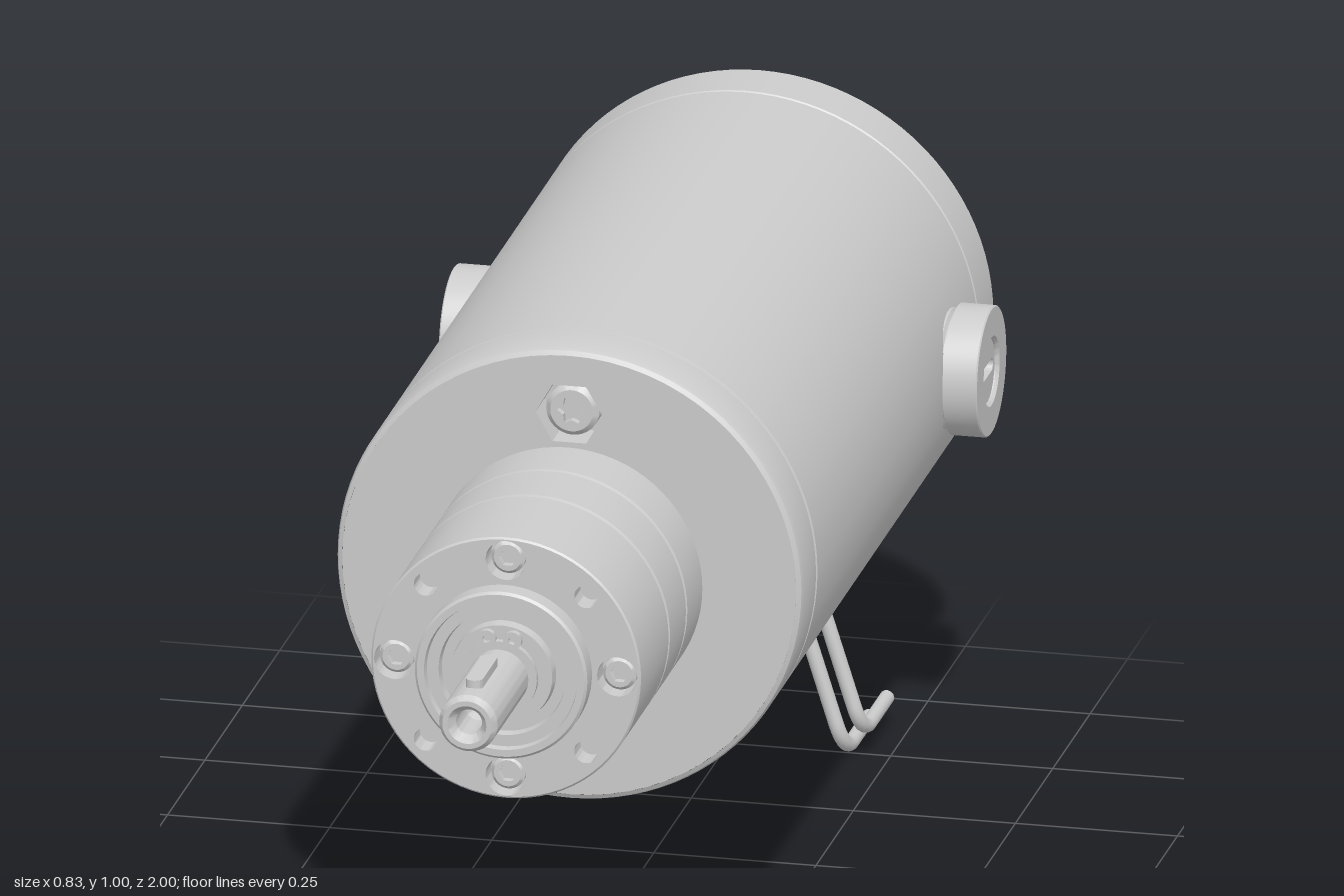
import * as THREE from 'three';
import { toCreasedNormals } from 'three/addons/utils/BufferGeometryUtils.js';

const AXIS_Y = 0.643;
const mat = new THREE.MeshStandardMaterial({ color: 0xcccccc });
const matThin = new THREE.MeshStandardMaterial({ color: 0xcccccc, side: THREE.DoubleSide });

function add(parent, name, geo, x = 0, y = 0, z = 0, material = mat) {
  const m = new THREE.Mesh(geo, material);
  m.name = name;
  m.position.set(x, y, z);
  parent.add(m);
  return m;
}

// Turned part along z; profile is [radius, z] pairs
function turned(profile, segments = 72) {
  const geo = new THREE.LatheGeometry(profile.map(p => new THREE.Vector2(p[0], p[1])), segments);
  return toCreasedNormals(geo.rotateX(Math.PI / 2), 0.45);
}

const circle = (r, x = 0, y = 0) => new THREE.Shape().absarc(x, y, r, 0, Math.PI * 2, false);

// Polygon or star with alternating radii
function polygon(n, r, x = 0, y = 0, r2 = r) {
  const pts = [];
  for (let i = 0; i < n; i++) {
    const a = (i / n) * Math.PI * 2, k = i % 2 ? r2 : r;
    pts.push(new THREE.Vector2(x + k * Math.cos(a), y + k * Math.sin(a)));
  }
  return new THREE.Shape(pts);
}

// Rounded slot, long along x
function slot(length, width) {
  const h = width / 2, s = length / 2 - h;
  return new THREE.Shape()
    .absarc(s, 0, h, -Math.PI / 2, Math.PI / 2, false)
    .absarc(-s, 0, h, Math.PI / 2, Math.PI * 1.5, false);
}

// Flat plate from z0 to z1 with holes
function plate(shape, holes, z0, z1) {
  shape.holes.push(...holes);
  const geo = new THREE.ExtrudeGeometry(shape, { depth: z1 - z0, bevelEnabled: false, curveSegments: 36 });
  return toCreasedNormals(geo.translate(0, 0, z0), 0.45);
}

// Screw head facing +z, its top at z = 0
function screw(name, r, depth, socket) {
  const g = new THREE.Group();
  g.name = name;
  add(g, 'headRim', turned([[r, -depth], [r, -r * 0.2], [r * 0.8, 0]], 32));
  add(g, 'headTop', plate(circle(r * 0.8), [socket], -0.012, 0));
  add(g, 'socketFloor', new THREE.CircleGeometry(r * 0.9, 24), 0, 0, -0.012);
  return g;
}

function createModel() {
  const model = new THREE.Group();
  model.name = 'gearMotor';
  const motor = new THREE.Group();
  motor.name = 'motor';
  motor.position.y = AXIS_Y;
  model.add(motor);
  const boltYs = [0.257, -0.257];

  // Motor housing with seams
  add(motor, 'housing', turned([
    [0.35, -0.97], [0.357, -0.966], [0.36, -0.96], [0.36, -0.866], [0.357, -0.864], [0.357, -0.861], [0.36, -0.859],
    [0.36, 0.216], [0.354, 0.218], [0.354, 0.224], [0.36, 0.226], [0.36, 0.303], [0.357, 0.311], [0.35, 0.315],
  ], 96));
  add(motor, 'frontFlangeFace', plate(circle(0.35), boltYs.map(y => polygon(6, 0.052, 0, y)), 0.255, 0.315));
  add(motor, 'recessFloor', new THREE.CircleGeometry(0.35, 48), 0, 0, 0.255);
  for (const y of boltYs) {
    const bolt = screw('flangeBolt', 0.041, 0.045, polygon(12, 0.023, 0, 0, 0.015));
    bolt.position.set(0, y, 0.3);
    motor.add(bolt);
  }

  // Curved nameplate on top
  add(motor, 'nameplate', new THREE.CylinderGeometry(0.3612, 0.3612, 0.29, 24, 1, true, Math.PI - 0.47, 0.94)
    .rotateX(Math.PI / 2), 0, 0, -0.215, matThin);

  // Rear end with bolt pockets and centre bore
  const rearHoles = [circle(0.05), ...boltYs.map(y => circle(0.045, 0, y))];
  add(motor, 'rearFace', plate(circle(0.35), rearHoles, -0.97, -0.91));
  add(motor, 'rearFloor', new THREE.CircleGeometry(0.35, 48).rotateY(Math.PI), 0, 0, -0.91);
  const cover = new THREE.Shape();
  for (const a of [Math.PI / 2, Math.PI * 1.5]) {
    const b = a + Math.PI;
    cover.absarc(0, 0, 0.27, a + 0.168, b - 0.168, false);
    cover.absarc(0.25 * Math.cos(b), 0.25 * Math.sin(b), 0.048, b - 1.226, b + 1.226, true);
  }
  add(motor, 'rearCover', plate(cover, [circle(0.05)], -1, -0.97));
  for (const y of boltYs) {
    const bolt = screw('rearBolt', 0.034, 0.05, polygon(6, 0.018));
    bolt.position.set(0, y, -0.965);
    bolt.rotation.y = Math.PI;
    motor.add(bolt);
  }

  // Gearbox with ring seams
  const gearbox = new THREE.Group();
  gearbox.name = 'gearbox';
  motor.add(gearbox);
  const profile = [[0.203, 0.31], [0.203, 0.325], [0.208, 0.327]];
  for (const z of [0.432, 0.548]) {
    profile.push([0.208, z - 0.005], [0.203, z - 0.003], [0.203, z + 0.003], [0.208, z + 0.005]);
  }
  profile.push([0.208, 0.737], [0.205, 0.74]);
  add(gearbox, 'gearboxCase', turned(profile));
  const faceHoles = [];
  for (let i = 0; i < 4; i++) {
    const a = (i * Math.PI) / 2, d = a + Math.PI / 4;
    const x = 0.172 * Math.cos(a), y = 0.172 * Math.sin(a);
    faceHoles.push(circle(0.031, x, y), circle(0.018, 0.175 * Math.cos(d), 0.175 * Math.sin(d)));
    const s = screw('gearboxScrew', 0.026, 0.03, polygon(6, 0.014));
    s.position.set(x, y, 0.728);
    gearbox.add(s);
  }
  add(gearbox, 'gearboxFace', plate(circle(0.205), faceHoles, 0.7, 0.74));
  add(gearbox, 'holeFloor', new THREE.CircleGeometry(0.205, 48), 0, 0, 0.7);
  add(gearbox, 'bearingBoss', turned([
    [0.133, 0.735], [0.133, 0.771], [0.129, 0.775], [0.118, 0.775], [0.116, 0.764], [0.098, 0.764], [0.096, 0.75],
    [0.08, 0.75], [0.078, 0.768], [0.055, 0.768], [0.053, 0.758], [0.04, 0.758],
  ]));

  // Output shaft with centre hole, key and retaining ring
  add(gearbox, 'outputShaft', turned([
    [0.045, 0.7], [0.045, 0.99], [0.038, 1], [0.03, 1], [0.02, 0.985], [0.02, 0.92], [0, 0.91],
  ], 48));
  add(gearbox, 'shaftKey', plate(slot(0.12, 0.026), [], 0, 0.04).rotateX(-Math.PI / 2).rotateY(Math.PI / 2),
    0, 0.017, 0.9);
  add(gearbox, 'retainingRing', plate(circle(0.058), [circle(0.044)], 0.774, 0.784));
  for (const x of [-0.02, 0.02]) {
    add(gearbox, 'retainingRingEar', plate(circle(0.014), [circle(0.006)], 0.774, 0.784), x, 0.06, 0);
  }

  // Brush caps, one on each side
  for (const side of [1, -1]) {
    const cap = new THREE.Group();
    cap.name = side > 0 ? 'leftBrushCap' : 'rightBrushCap';
    cap.position.z = -0.71;
    cap.rotation.y = (side * Math.PI) / 2;
    motor.add(cap);
    add(cap, 'capNeck', turned([[0.092, 0.32], [0.092, 0.352], [0.086, 0.356], [0.086, 0.366]], 48));
    add(cap, 'capRim', turned([
      [0.08, 0.362], [0.1, 0.362], [0.1, 0.413], [0.098, 0.415], [0.054, 0.415], [0.05, 0.41], [0.05, 0.39],
    ], 56));
    add(cap, 'capPlug', plate(circle(0.05), [slot(0.078, 0.02)], 0.39, 0.408));
    add(cap, 'slotFloor', new THREE.CircleGeometry(0.055, 32), 0, 0, 0.391);
  }

  // Cable grommet under the housing
  const out = new THREE.Vector3(0.308, -0.951, 0);
  const grommet = add(motor, 'cableGrommet', turned([
    [0.045, 0.33], [0.05, 0.354], [0.056, 0.358], [0.056, 0.383], [0.05, 0.39], [0, 0.39],
  ], 40), 0, 0, -0.73);
  grommet.quaternion.setFromUnitVectors(new THREE.Vector3(0, 0, 1), out);

  // Two wires, bent towards the rear
  const wires = [[0.1, 0.285, 0.186, 0.013], [0.134, 0.295, 0.213, 0.045]];
  for (const [x0, y0, x1, y1] of wires) {
    const start = new THREE.Vector3(x0, y0, -0.722), corner = new THREE.Vector3(x1, y1, -0.722);
    const end = new THREE.Vector3(x1, y1, -0.885);
    const b0 = corner.clone().lerp(start, 0.17), b1 = corner.clone().lerp(end, 0.3);
    const path = new THREE.CurvePath();
    path.add(new THREE.LineCurve3(start, b0));
    path.add(new THREE.QuadraticBezierCurve3(b0, corner, b1));
    path.add(new THREE.LineCurve3(b1, end));
    add(model, 'wire', new THREE.TubeGeometry(path, 60, 0.0115, 14));
    add(model, 'wireEnd', new THREE.CircleGeometry(0.0115, 14).rotateY(Math.PI), x1, y1, -0.885);
  }
  return model;
}

export { createModel };
